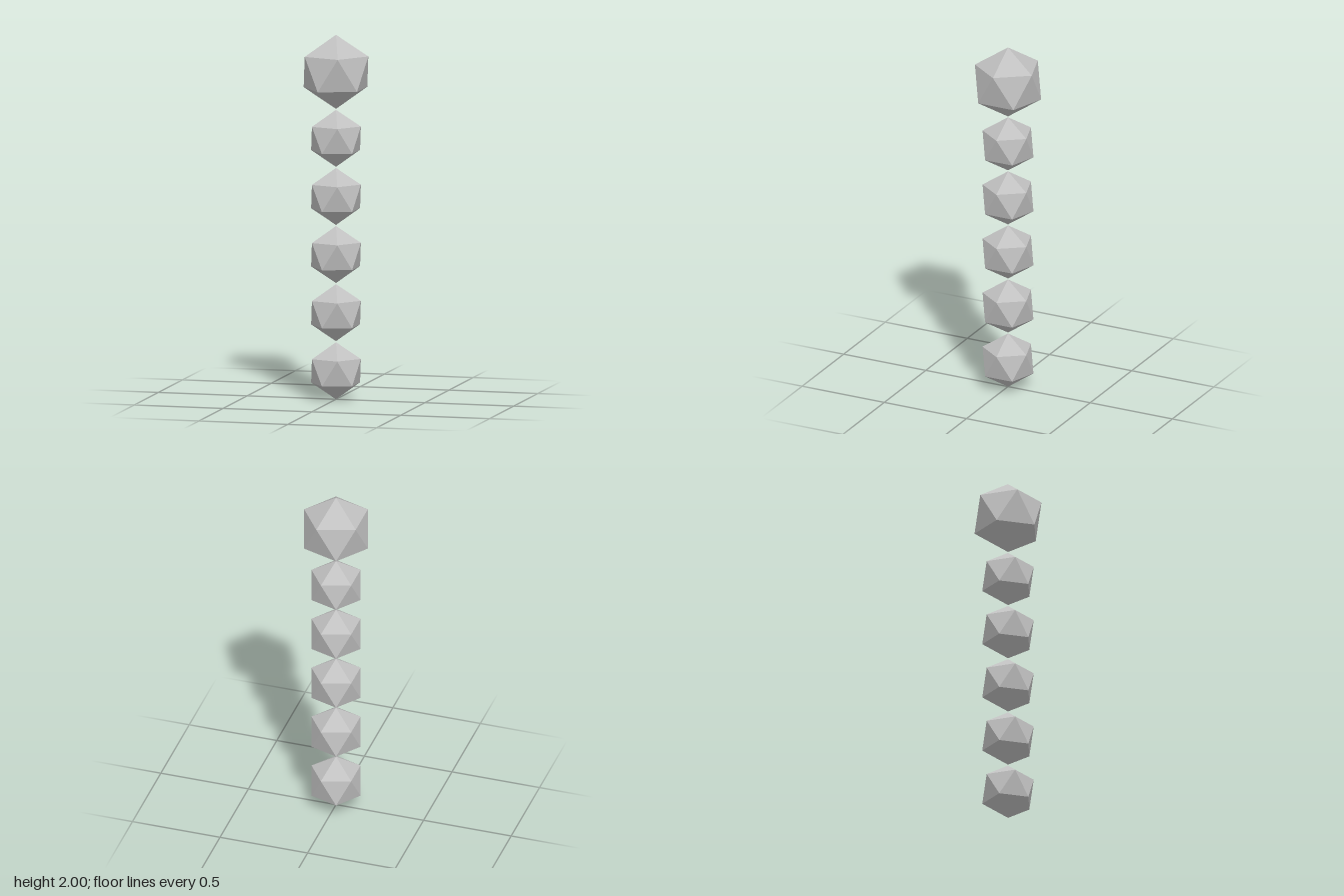
import * as THREE from 'three';

export function createModel() {
  const model = new THREE.Group();
  model.name = 'beadColumn';

  const grey = new THREE.MeshStandardMaterial({ color: 0xc0c0c0 });
  grey.name = 'grey';

  // Icosahedron turned so one corner points straight up and the upper ring has a corner at +x
  const golden = (1 + Math.sqrt(5)) / 2;
  const bead = (name, radius, y) => {
    const geometry = new THREE.IcosahedronGeometry(radius, 0);
    geometry.rotateZ(-Math.atan(1 / golden));
    const mesh = new THREE.Mesh(geometry, grey);
    mesh.name = name;
    mesh.position.y = y;
    model.add(mesh);
  };

  // Five equal beads stacked with a hairline gap
  const radius = 0.1565;
  const spacing = 0.3188;
  for (let i = 0; i < 5; i++) bead(`bead${i + 1}`, radius, radius + i * spacing);

  // Larger bead on top
  const topRadius = radius * 1.3;
  bead('topBead', topRadius, 2 - topRadius);

  return model;
}
